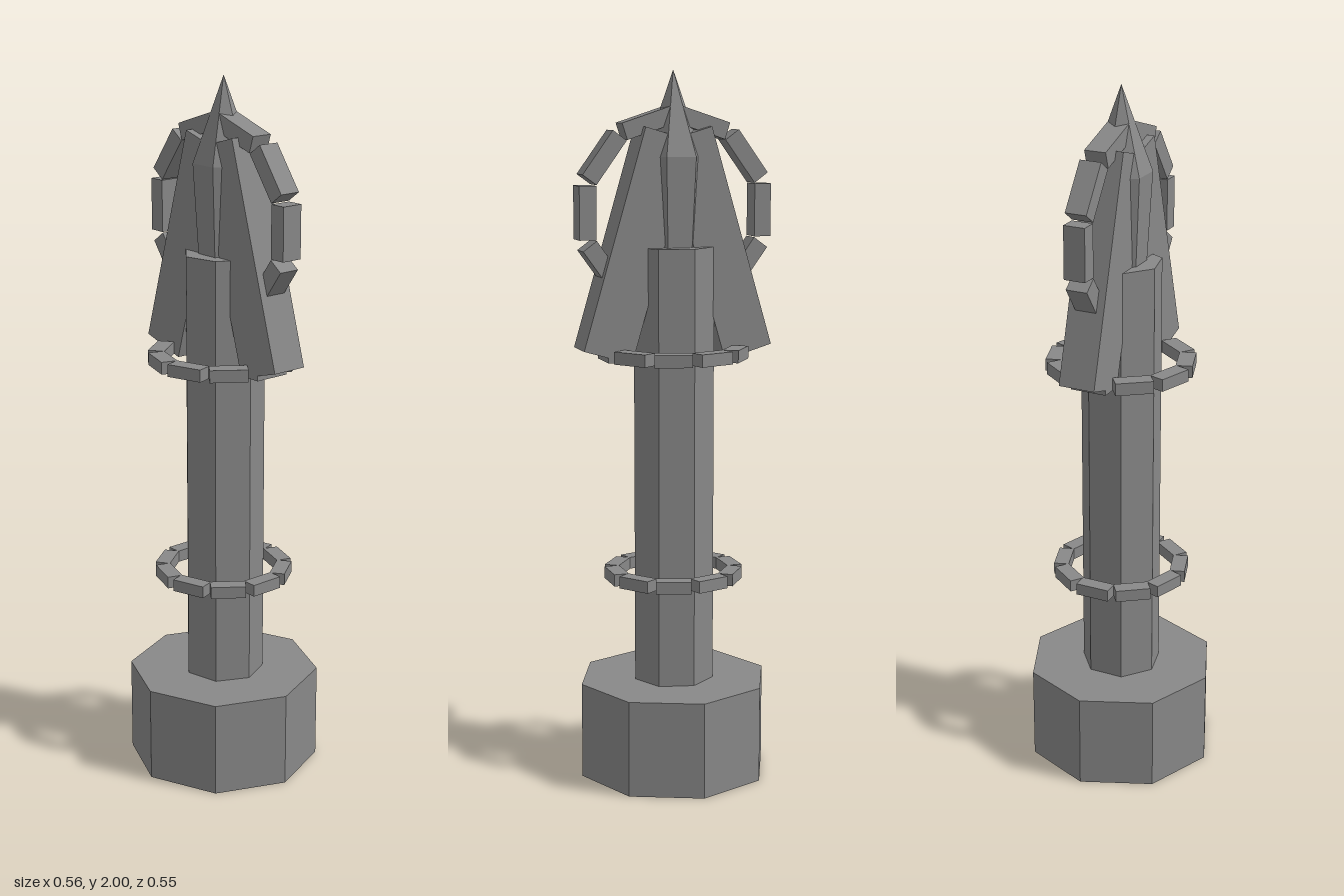
import * as THREE from 'three';

const metal = new THREE.MeshStandardMaterial({ color: 0x888888 });
metal.name = 'grey metal';
metal.flatShading = true;

export function createModel() {
  const model = new THREE.Group();
  model.name = 'spearPillar';

  const add = (parent, name, geometry) => {
    const mesh = new THREE.Mesh(geometry, metal);
    mesh.name = name;
    parent.add(mesh);
    return mesh;
  };

  // Upright prism or taper between two heights
  const prism = (name, rTop, rBottom, y0, y1, sides, turn = 0) => {
    const g = new THREE.CylinderGeometry(rTop, rBottom, y1 - y0, sides, 1, false, turn);
    add(model, name, g).position.y = (y0 + y1) / 2;
  };

  // Ten separate blocks set in a circle in the group's xy plane
  const blockRing = (name, y, radius, thick, length, depth) => {
    const ring = new THREE.Group();
    ring.name = name;
    ring.position.y = y;
    for (let i = 0; i < 10; i++) {
      const a = (i * Math.PI) / 5;
      const block = add(ring, 'ringBlock', new THREE.BoxGeometry(thick, length, depth));
      block.position.set(radius * Math.cos(a), radius * Math.sin(a), 0);
      block.rotation.z = a;
    }
    model.add(ring);
    return ring;
  };

  // Base, seven-sided shaft and six-sided spearhead
  prism('base', 0.275, 0.275, 0, 0.275, 8);
  prism('shaft', 0.115, 0.115, 0.275, 1.517, 7, Math.PI / 2);
  prism('spearNeck', 0.085, 0.07, 1.517, 1.765, 6, Math.PI / 6);
  prism('spearTip', 0, 0.085, 1.765, 2, 6, Math.PI / 6);

  // Slanted struts leaning in to the spearhead
  for (const side of [-1, 1]) {
    const strut = add(model, side > 0 ? 'leftStrut' : 'rightStrut',
      new THREE.BoxGeometry(0.143, 0.633, 0.105));
    strut.position.set(side * 0.116, 1.523, 0);
    strut.rotation.z = side * 0.286;
  }

  // Upright halo and the two flat collars
  blockRing('halo', 1.615, 0.254, 0.048, 0.147, 0.062);
  blockRing('upperCollar', 1.222, 0.181, 0.047, 0.105, 0.035).rotation.x = Math.PI / 2;
  blockRing('lowerCollar', 0.586, 0.169, 0.043, 0.099, 0.034).rotation.x = Math.PI / 2;

  return model;
}
